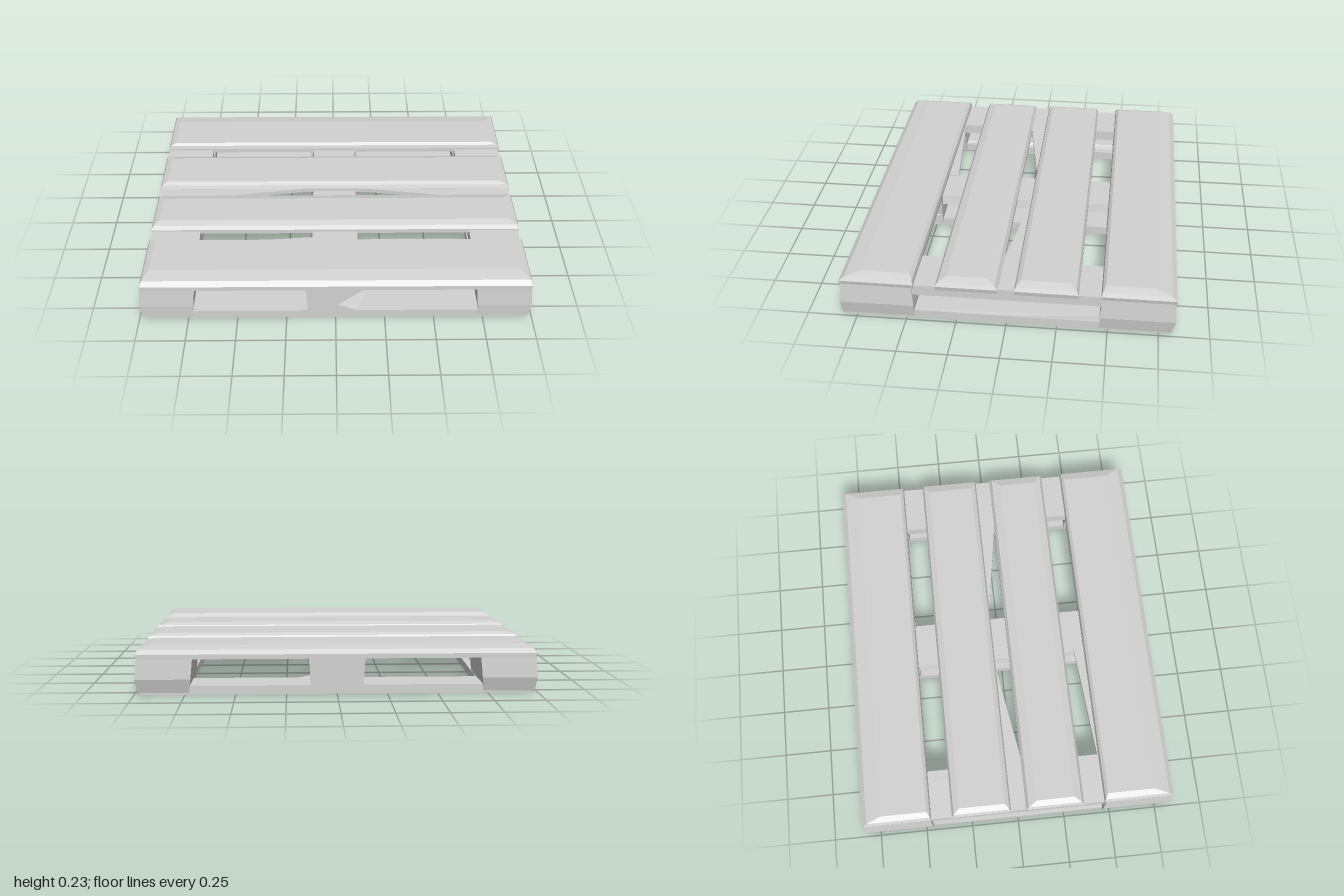
import * as THREE from 'three';

export function createModel() {
  const pallet = new THREE.Group();
  pallet.name = 'pallet';
  const grey = new THREE.MeshStandardMaterial({ color: 0xd2d2d2, flatShading: true });
  grey.name = 'weathered grey';

  function add(name, geometry) {
    const flat = geometry.index ? geometry.toNonIndexed() : geometry;
    flat.computeVertexNormals();
    const mesh = new THREE.Mesh(flat, grey);
    mesh.name = name;
    pallet.add(mesh);
  }

  // Stack of rectangles [y, x0, x1, z0, z1] joined into a faceted solid.
  // moves lists single corners to shift: [corner number, x, y, z]
  function loft(name, levels, moves = []) {
    const pos = [], index = [];
    levels.forEach(([y, x0, x1, z0, z1]) => pos.push(x0, y, z1, x1, y, z1, x1, y, z0, x0, y, z0));
    moves.forEach(([corner, ...offset]) => offset.forEach((d, i) => { pos[corner * 3 + i] += d; }));
    for (let l = 0; l < levels.length - 1; l++) {
      for (let i = 0; i < 4; i++) {
        const a = l * 4 + i, b = l * 4 + (i + 1) % 4;
        index.push(a, b, b + 4, a, b + 4, a + 4);
      }
    }
    const t = (levels.length - 1) * 4;
    index.push(0, 2, 1, 0, 3, 2, t, t + 1, t + 2, t, t + 2, t + 3);
    const g = new THREE.BufferGeometry();
    g.setAttribute('position', new THREE.Float32BufferAttribute(pos, 3));
    g.setIndex(index);
    add(name, g);
  }

  // Flat outline of [x, z] points, extruded upward from y
  function plate(name, points, y, height, holes = []) {
    const toPath = (list) => list.map(([x, z]) => new THREE.Vector2(x, -z));
    const shape = new THREE.Shape(toPath(points));
    holes.forEach((h) => shape.holes.push(new THREE.Path(toPath(h))));
    const g = new THREE.ExtrudeGeometry(shape, { depth: height, bevelEnabled: false });
    g.rotateX(-Math.PI / 2).translate(0, y, 0);
    add(name, g);
  }

  // Bottom frame with two openings
  plate('bottomFrame',
    [[-0.98, 0.815], [-0.97, 0.825], [0.97, 0.825], [0.98, 0.815], [0.98, -0.8], [0.97, -0.81], [-0.97, -0.81], [-0.98, -0.8]],
    0, 0.045,
    [[[0.19, -0.61], [0.74, -0.61], [0.73, 0.59], [0.13, 0.59], [0.13, -0.55]],
      [[-0.72, -0.61], [-0.13, -0.61], [-0.13, 0.55], [-0.09, 0.59], [-0.75, 0.59]]]);

  for (const s of [-1, 1]) {
    const span = (inner, outer) => (s > 0 ? [inner, outer] : [-outer, -inner]);
    // Lower side boards rising toward the back
    loft('sideRail', [[0.02, ...span(0.76, 0.98), -0.5, 0.5], [0.047, ...span(0.78, 0.97), -0.5, 0.5]],
      [[6, 0, 0.025, 0], [7, 0, 0.025, 0]]);
    // Upper side stringers
    loft('sideStringer', [[0.14, ...span(0.72, 0.98), -0.75, 0.75], [0.195, ...span(0.72, 0.98), -0.75, 0.75]]);
    for (const f of [-1, 1]) {
      const depth = (inner, outer) => (f > 0 ? [inner, outer] : [-outer, -inner]);
      // Corner blocks bulging slightly at mid height
      loft('cornerBlock', [
        [0.01, ...span(0.73, 0.982), ...depth(0.46, f > 0 ? 0.828 : 0.812)],
        [0.08, ...span(0.72, 0.995), ...depth(0.46, 0.832)],
        [0.19, ...span(0.71, 0.985), ...depth(0.47, 0.825)],
      ]);
    }
  }
  loft('centreStringer', [[0.14, -0.13, 0.13, -0.75, 0.75], [0.19, -0.12, 0.12, -0.75, 0.75]]);

  // Middle blocks; the front one has a wedge cut into its right edge
  loft('backCentreBlock', [[0.03, -0.13, 0.13, -0.82, -0.46], [0.19, -0.14, 0.14, -0.82, -0.46]]);
  loft('frontCentreBlock', [
    [0.03, -0.14, 0.15, 0.46, 0.825],
    [0.08, -0.145, 0.15, 0.46, 0.825],
    [0.185, -0.15, 0.15, 0.46, 0.825],
  ], [[5, -0.14, 0, 0]]);

  // Deck boards: back z, front z, back bevel, front bevel
  const boards = [
    [-0.83, -0.465, 0.1, 0.02],
    [-0.355, -0.04, 0.04, 0.03],
    [0.04, 0.35, 0.06, 0.05],
    [0.46, 0.83, 0.02, 0.1],
  ];
  boards.forEach(([z0, z1, b0, b1]) => loft('deckBoard', [
    [0.18, -0.982, 0.985, z0, z1],
    [0.203, -0.985, 0.99, z0, z1],
    [0.223, -0.975, 0.98, z0 + b0 * 0.25, z1 - b1 * 0.25],
    [0.235, -0.945, 0.935, z0 + b0, z1 - b1],
  ]));

  // Thin webs narrowing the gaps between boards
  for (const s of [-1, 1]) {
    const web = [[s * 0.98, -0.06], [s * 0.13, -0.06], [s * 0.14, -0.045], [s * 0.72, 0.045], [s * 0.98, 0.045]];
    plate('middleWeb', web, 0.18, 0.022);
  }
  plate('frontWeb', [[-0.72, 0.47], [-0.72, 0.455], [-0.1, 0.405], [-0.1, 0.47]], 0.18, 0.015);

  return pallet;
}
